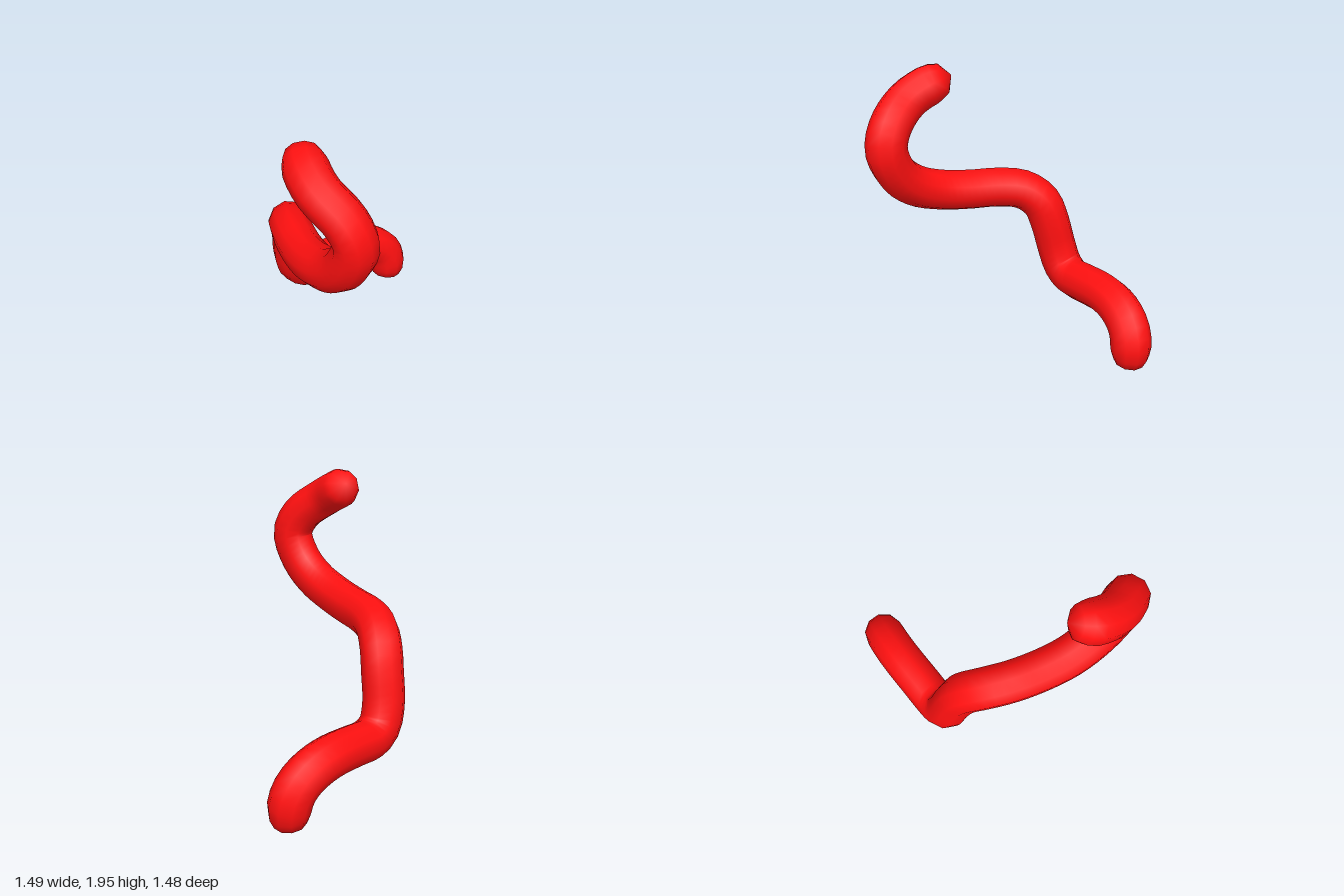
import * as THREE from 'three';
import { mergeVertices } from 'three/addons/utils/BufferGeometryUtils.js';

const RADIUS = 0.138, RINGS = 64, SIDES = 10;

// Centre line of the body, from the lower end to the upper end
const PATH = [
  [0.6, 0.01, -0.575], [0.615, 0.18, -0.58], [0.58, 0.28, -0.59], [0.51, 0.35, -0.6],
  [0.4, 0.4, -0.608], [0.27, 0.42, -0.607], [0.1, 0.415, -0.597], [-0.07, 0.41, -0.587],
  [-0.17, 0.465, -0.58], [-0.225, 0.6, -0.56], [-0.255, 0.8, -0.515], [-0.29, 0.94, -0.465],
  [-0.36, 1.03, -0.36], [-0.43, 1.06, -0.2], [-0.485, 1.07, 0], [-0.52, 1.1, 0.2],
  [-0.525, 1.17, 0.39], [-0.515, 1.29, 0.53], [-0.505, 1.47, 0.605], [-0.54, 1.61, 0.55],
  [-0.605, 1.74, 0.39], [-0.59, 1.82, 0.24], [-0.525, 1.885, 0.1],
];

// Shrinks the last rings of a tube into blunt rounded ends
const END_SCALE = [0, 0.76, 0.93];

function createBody() {
  const curve = new THREE.CatmullRomCurve3(PATH.map(p => new THREE.Vector3(...p)));
  const tube = new THREE.TubeGeometry(curve, RINGS, RADIUS, SIDES);
  const pos = tube.attributes.position;
  const v = new THREE.Vector3();
  for (let ring = 0; ring <= RINGS; ring++) {
    const scale = END_SCALE[Math.min(ring, RINGS - ring)] ?? 1;
    const centre = curve.getPointAt(ring / RINGS);
    for (let s = 0; s <= SIDES; s++) {
      const i = ring * (SIDES + 1) + s;
      v.fromBufferAttribute(pos, i).sub(centre).multiplyScalar(scale).add(centre);
      pos.setXYZ(i, v.x, v.y, v.z);
    }
  }
  // Weld the seam and tips so the shading runs smoothly
  tube.deleteAttribute('uv');
  tube.deleteAttribute('normal');
  const welded = mergeVertices(tube, 1e-4);
  welded.computeVertexNormals();
  return welded;
}

export function createModel() {
  const model = new THREE.Group();
  model.name = 'windingTube';
  const body = new THREE.Mesh(createBody(), new THREE.MeshStandardMaterial({ color: 0xff1010 }));
  body.name = 'tubeBody';
  model.add(body);
  return model;
}
